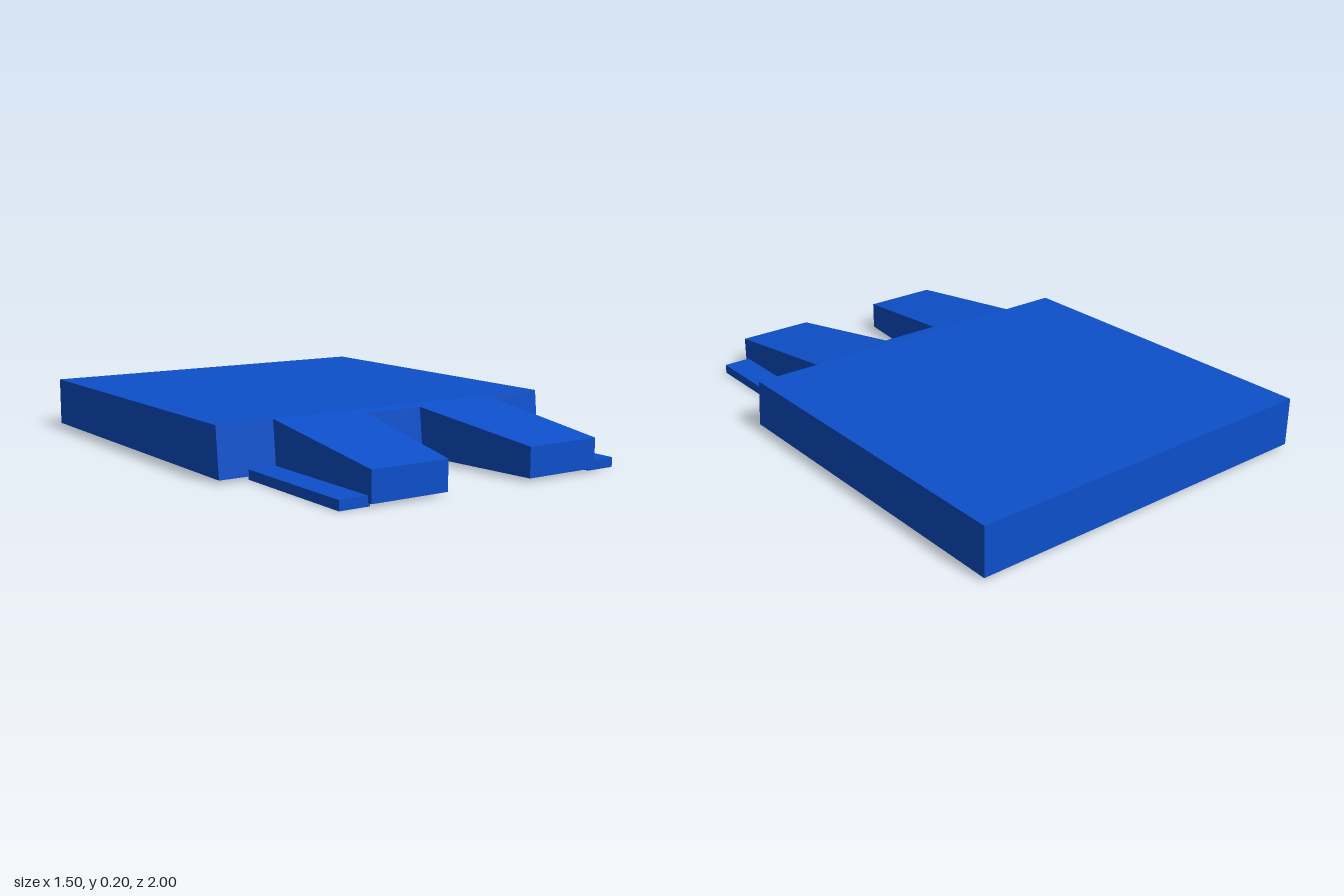
import * as THREE from 'three';

const BASE = 0.012, TOP = 0.205, FRONT = 0.4, TIP = 1;
const CENTER = -0.016; // the prong assembly sits slightly off the slab's middle

const blue = new THREE.MeshStandardMaterial({ color: 0x0d50cc, side: THREE.DoubleSide });
blue.name = 'blue';

// Height of the sloping prong top at depth z
const slope = (z) => TOP - (z - FRONT) * 0.133;

// Six-sided block; corners run front-left, front-right, back-right, back-left
function block(name, bottom, top, openBottom = false) {
  const faces = [[4, 5, 6, 7]];
  if (!openBottom) faces.push([0, 3, 2, 1]);
  for (let i = 0; i < 4; i++) {
    const j = (i + 1) % 4;
    faces.push([i, j, 4 + j, 4 + i]);
  }
  const corners = [...bottom, ...top];
  const positions = [];
  for (const [a, b, c, d] of faces) {
    for (const k of [a, b, c, a, c, d]) positions.push(...corners[k]);
  }
  const geometry = new THREE.BufferGeometry();
  geometry.setAttribute('position', new THREE.Float32BufferAttribute(positions, 3));
  geometry.computeVertexNormals();
  const mesh = new THREE.Mesh(geometry, blue);
  mesh.name = name;
  return mesh;
}

// Mirrors a ring of corners to one side, keeping the winding outward
function sided(ring, side) {
  const moved = ring.map(([x, y, z]) => [CENTER + side * x, y, z]);
  return side > 0 ? moved : [moved[1], moved[0], moved[3], moved[2]];
}

export function createModel() {
  const model = new THREE.Group();
  model.name = 'prongedSlab';

  // Main slab, its front face leaning back a little
  model.add(block('slab',
    [[-0.75, BASE, 0.42], [0.75, BASE, 0.42], [0.75, BASE, -1], [-0.75, BASE, -1]],
    [[-0.75, TOP, FRONT], [0.75, TOP, FRONT], [0.75, TOP, -1], [-0.75, TOP, -1]]));

  // Short web at the back of the notch
  const webL = CENTER - 0.125, webR = CENTER + 0.125;
  model.add(block('notchWeb',
    [[webL, BASE, 0.47], [webR, BASE, 0.47], [webR, BASE, 0.42], [webL, BASE, 0.42]],
    [[webL, slope(0.45), 0.45], [webR, slope(0.45), 0.45], [webR, TOP, FRONT], [webL, TOP, FRONT]]));

  for (const side of [1, -1]) {
    const prefix = side > 0 ? 'left' : 'right';

    // Tapering prong with a sloping top
    model.add(block(prefix + 'Prong',
      sided([[0.185, BASE, TIP], [0.5, BASE, TIP], [0.5, BASE, 0.42], [0.12, BASE, 0.42]], side),
      sided([[0.185, slope(TIP), TIP], [0.5, slope(TIP), TIP], [0.5, TOP, FRONT], [0.12, TOP, FRONT]], side)));

    // Thin hollow rail along the prong, open underneath
    const rail = (y) => sided([[0.491, y, 0.98], [0.613, y, 0.98], [0.613, y, 0.415], [0.491, y, 0.415]], side);
    model.add(block(prefix + 'Rail', rail(0), rail(0.037), true));
  }

  return model;
}
